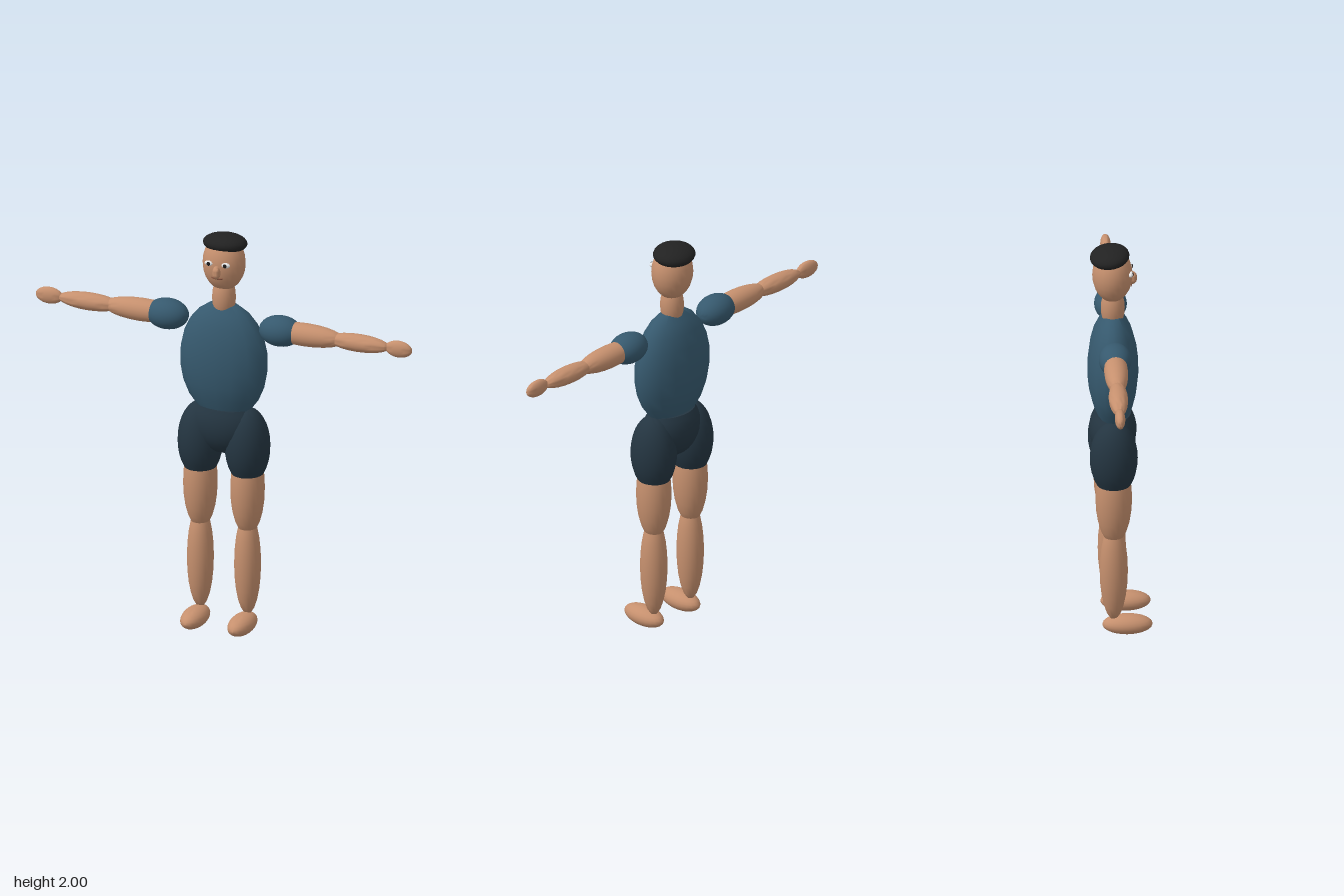
import * as THREE from 'three';
import { toCreasedNormals } from 'three/addons/utils/BufferGeometryUtils.js';

const paint = (name, color) => {
  const m = new THREE.MeshStandardMaterial({ color });
  m.name = name;
  return m;
};

// Ellipsoid along y, optionally cut flat at lo and hi (fractions of its half height)
function ellipsoid([rx, ry, rz], lo = -1, hi = 1, sides = 24, rows = 12) {
  const points = [];
  const a = Math.asin(lo), b = Math.asin(hi);
  if (lo > -1) points.push(new THREE.Vector2(0, lo));
  for (let i = 0; i <= rows; i++) {
    const t = a + (b - a) * i / rows;
    points.push(new THREE.Vector2(Math.max(0, Math.cos(t)), Math.sin(t)));
  }
  if (hi < 1) points.push(new THREE.Vector2(0, hi));
  const g = new THREE.LatheGeometry(points, sides);
  g.scale(rx, ry, rz);
  return toCreasedNormals(g, 0.75);
}

export function createModel() {
  const model = new THREE.Group();
  model.name = 'figure';
  const skin = paint('skin', 0xc6906e);
  const shirt = paint('shirt blue', 0x36596e);
  const shorts = paint('shorts navy', 0x243541);
  const hair = paint('hair black', 0x222222);
  const white = paint('eye white', 0xeeeeee);
  const dark = paint('pupil dark', 0x1c1a1a);
  const lip = paint('lip brown', 0x8a5540);
  const Z = -0.03; // body axis

  const add = (name, geometry, material, x, y, z = Z) => {
    const mesh = new THREE.Mesh(geometry, material);
    mesh.name = name;
    mesh.position.set(x, y, z);
    model.add(mesh);
    return mesh;
  };

  // Trunk
  add('torso', ellipsoid([0.223, 0.3, 0.122], -0.8, 0.945, 16, 8), shirt, 0, 1.36);
  add('pelvis', ellipsoid([0.168, 0.145, 0.113], -1, 0.64), shorts, 0, 1.033);
  add('neck', ellipsoid([0.057, 0.115, 0.057]), skin, 0, 1.68);

  // Head
  add('head', ellipsoid([0.104, 0.138, 0.096]), skin, 0, 1.857, -0.032);
  add('hair', ellipsoid([0.108, 0.046, 0.095]), hair, 0, 1.953, -0.045).rotation.x = -0.1;
  add('nose', ellipsoid([0.02, 0.033, 0.022]), skin, 0, 1.838, 0.064);
  const smile = new THREE.QuadraticBezierCurve3(
    new THREE.Vector3(-0.028, 0.003, -0.005),
    new THREE.Vector3(0, -0.004, 0.006),
    new THREE.Vector3(0.028, 0.003, -0.005));
  add('mouth', new THREE.TubeGeometry(smile, 10, 0.004, 6), lip, 0, 1.804, 0.057);

  for (const side of [-1, 1]) {
    const label = side > 0 ? 'left' : 'right';
    // Eyes
    add(label + 'Eye', ellipsoid([0.023, 0.013, 0.012]), white, side * 0.042, 1.877, 0.053);
    add(label + 'Pupil', ellipsoid([0.009, 0.01, 0.005]), dark, side * 0.042, 1.877, 0.063);

    // Arms, stretched out sideways
    const arm = (part, material, x, length, ry, rz, hi) => {
      const g = ellipsoid([ry, length, rz], -1, hi);
      g.rotateZ(-side * Math.PI / 2);
      add(label + part, g, material, side * x, 1.55);
    };
    arm('Sleeve', shirt, 0.29, 0.106, 0.075, 0.078, 0.75);
    arm('UpperArm', skin, 0.42, 0.2, 0.056, 0.057);
    arm('Forearm', skin, 0.69, 0.16, 0.043, 0.046);
    arm('Hand', skin, 0.896, 0.069, 0.042, 0.025);

    // Legs
    const x = side * 0.121;
    add(label + 'ShortsLeg', ellipsoid([0.108, 0.195, 0.114], -0.7), shorts, x, 0.936);
    add(label + 'Thigh', ellipsoid([0.082, 0.24, 0.087]), skin, x, 0.72);
    add(label + 'Shin', ellipsoid([0.064, 0.26, 0.067]), skin, x, 0.335);
    add(label + 'Foot', ellipsoid([0.06, 0.048, 0.12]), skin, x, 0.048, 0.035);
  }
  return model;
}
